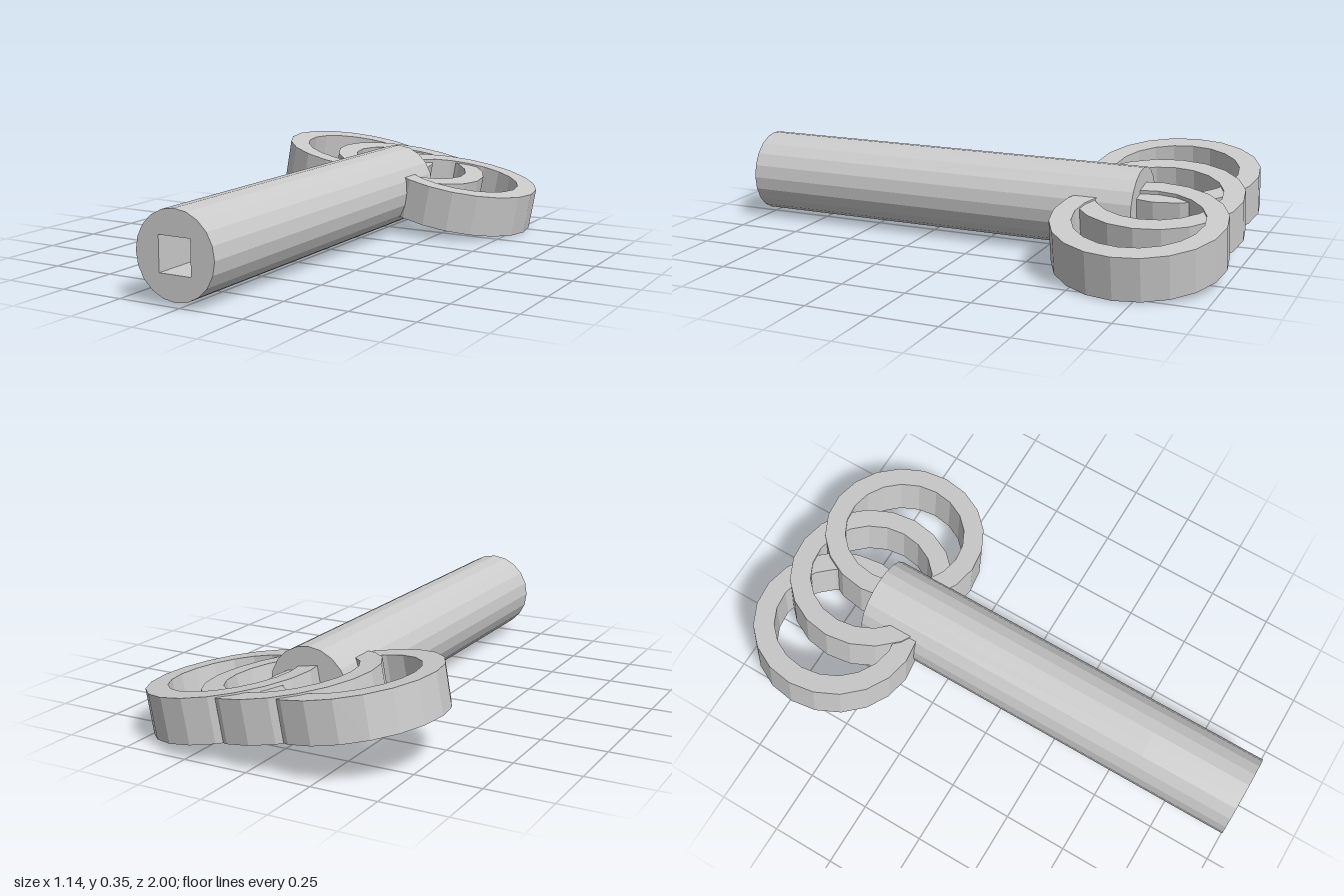
import * as THREE from 'three';

const SIDES = 20;

// Corners of a regular polygon
function polygon(radius) {
  return Array.from({ length: SIDES }, (_, i) => {
    const a = (i / SIDES) * Math.PI * 2;
    return new THREE.Vector2(radius * Math.cos(a), radius * Math.sin(a));
  });
}

// Straight prism of a polygon, with an optional hole, along +z
function prism(radius, depth, hole) {
  const shape = new THREE.Shape(polygon(radius));
  if (hole) shape.holes.push(new THREE.Path(hole));
  return new THREE.ExtrudeGeometry(shape, { depth, bevelEnabled: false });
}

export function createModel() {
  const model = new THREE.Group();
  model.name = 'windingKey';
  const material = new THREE.MeshStandardMaterial({ color: 0xcccccc, flatShading: true });

  function add(parent, name, geometry, x, y, z) {
    const mesh = new THREE.Mesh(geometry, material);
    mesh.name = name;
    mesh.position.set(x, y, z);
    parent.add(mesh);
  }

  // Shaft: solid rear length and a front length with a square socket
  const axisX = -0.015, axisY = 0.18, radius = 0.16;
  const back = -0.615, front = 1, socketDepth = 0.4, s = 0.065;
  const square = [[-s, -s], [-s, s], [s, s], [s, -s]].map(([x, y]) => new THREE.Vector2(x, y));
  add(model, 'shaft', prism(radius, front - socketDepth - back), axisX, axisY, back);
  add(model, 'socketEnd', prism(radius, socketDepth, square), axisX, axisY, front - socketDepth);

  // Handle: three overlapping rings on one tilted plane, each a little taller
  const handle = new THREE.Group();
  handle.name = 'handle';
  handle.position.set(axisX, 0.101, -0.68);
  handle.rotation.z = THREE.MathUtils.degToRad(-10);
  model.add(handle);
  ['rightRing', 'middleRing', 'leftRing'].forEach((name, i) => {
    const ring = prism(0.32, 0.152 + i * 0.007, polygon(0.24).reverse());
    ring.rotateX(-Math.PI / 2);
    add(handle, name, ring, (i - 1) * 0.245, 0, 0);
  });

  return model;
}
